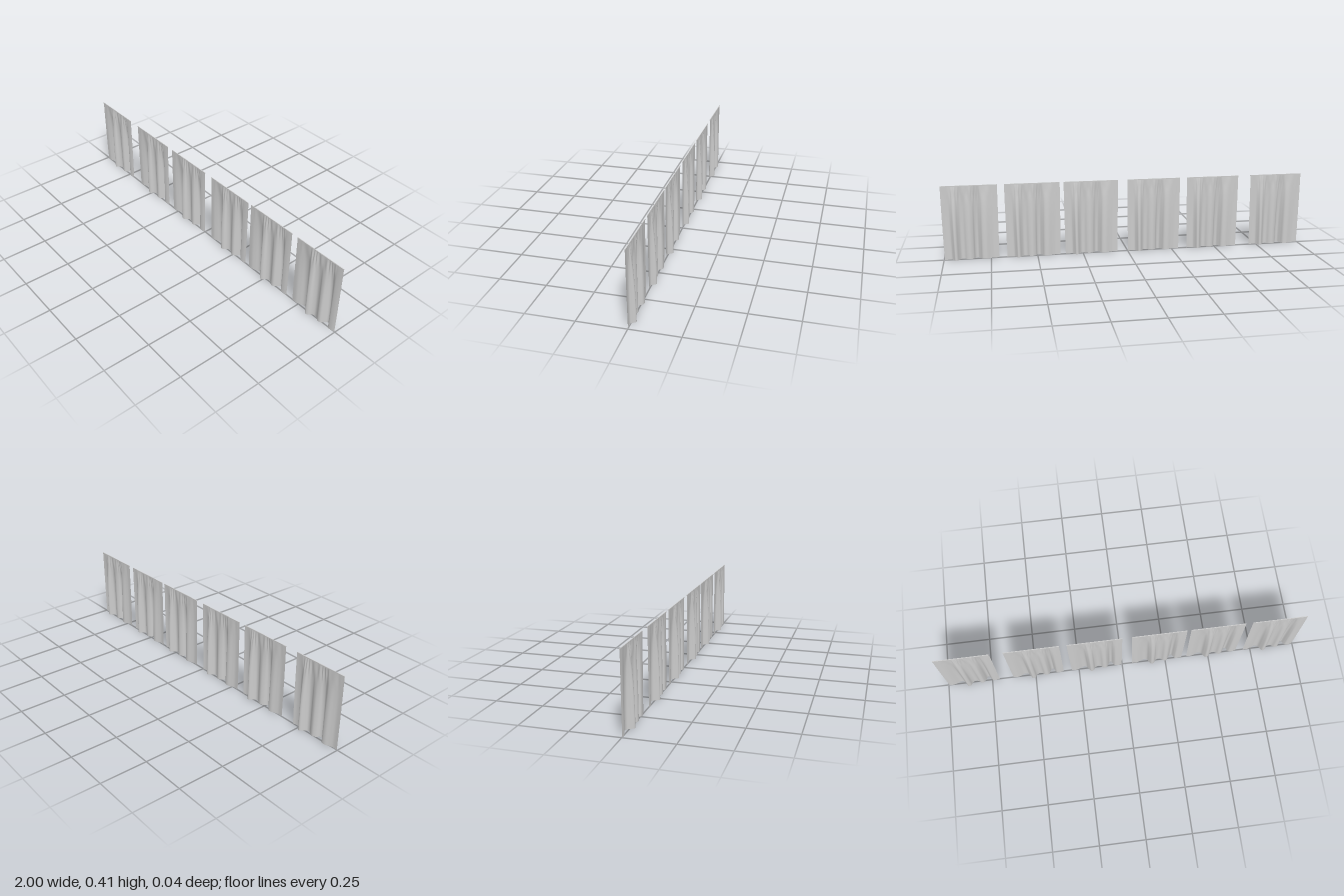
import * as THREE from 'three';

const WIDTH = 0.296, HEIGHT = 0.405;

// Hem line of one curtain seen from above: [x from left edge, z]
const hem = new THREE.SplineCurve([
  [0, 0.001], [0.025, 0.002], [0.045, -0.004], [0.068, -0.013], [0.088, -0.010],
  [0.100, 0.006], [0.113, 0.021], [0.128, 0.017], [0.138, 0.003], [0.155, -0.006],
  [0.172, -0.002], [0.187, 0.009], [0.203, 0.009], [0.215, -0.003], [0.226, -0.019],
  [0.238, -0.021], [0.248, -0.007], [0.258, 0.003], [0.278, 0.004], [WIDTH, 0],
].map(([x, z]) => new THREE.Vector2(x, z)));

// Cloth sheet: folds deepen towards the hem, fine gathers fade below the top
function clothGeometry() {
  const cols = 114, rows = 28;
  const geo = new THREE.PlaneGeometry(1, 1, cols, rows);
  const pos = geo.attributes.position;
  const p = new THREE.Vector2();
  for (let i = 0; i < pos.count; i++) {
    const u = pos.getX(i) + 0.5, v = pos.getY(i) + 0.5;
    hem.getPoint(u, p);
    const depth = 1 - Math.pow(v, 2.3);
    const gather = Math.exp(-Math.pow((v - 0.9) / 0.09, 2)) * Math.sin(Math.PI * u);
    const x = THREE.MathUtils.lerp(p.x, u * WIDTH, 0.35 * v * v);
    const z = p.y * depth + 0.0022 * gather * Math.sin(u * 75 + 2 * Math.sin(u * 17));
    const sideBow = 0.004 * (1 - v) * (1 - v) * (1 - 2 * u);
    pos.setXYZ(i, x - WIDTH / 2 + sideBow, v * HEIGHT, z);
  }
  geo.computeVertexNormals();
  return geo;
}

export function createModel() {
  const model = new THREE.Group();
  const fabric = new THREE.MeshStandardMaterial({ color: 0xcccccc, side: THREE.DoubleSide });
  const cloth = clothGeometry();
  const band = new THREE.BoxGeometry(WIDTH, 0.005, 0.004);

  // Row of identical curtains, unevenly spaced
  [-0.852, -0.483, -0.147, 0.202, 0.519, 0.852].forEach((x, i) => {
    const curtain = new THREE.Group();
    curtain.name = `curtain${i + 1}`;
    const sheet = new THREE.Mesh(cloth, fabric);
    sheet.name = 'cloth';
    const top = new THREE.Mesh(band, fabric);
    top.name = 'topBand';
    top.position.y = HEIGHT - 0.0025;
    curtain.add(sheet, top);
    curtain.position.x = x;
    model.add(curtain);
  });
  return model;
}
